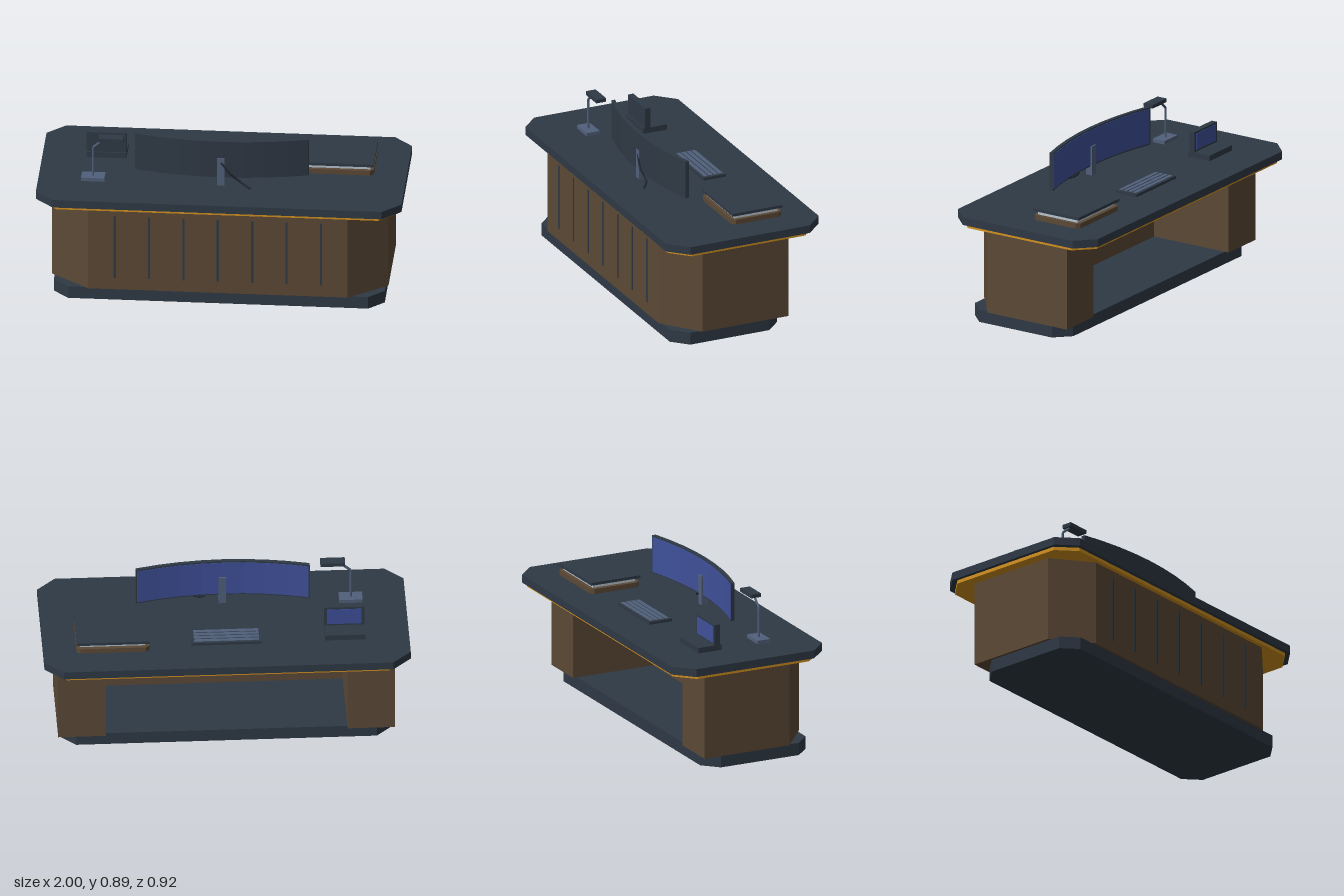
import * as THREE from 'three';

const mat = (name, color) => new THREE.MeshStandardMaterial({ name, color });

export function createModel() {
  const slate = mat('slate', 0x2f3945);
  const wood = mat('walnut', 0x5c4936);
  const amber = mat('amber trim', 0xd4911f);
  const metal = mat('blue grey metal', 0x50607a);
  const screenBlue = mat('screen blue', 0x3f509a);
  const paper = mat('paper', 0xb8c4ce);
  const charcoal = mat('charcoal', 0x222931);

  const desk = new THREE.Group();
  desk.name = 'desk';

  function add(name, geometry, material, parent = desk) {
    const mesh = new THREE.Mesh(geometry, material);
    mesh.name = name;
    parent.add(mesh);
    return mesh;
  }
  function group(name) {
    const g = new THREE.Group();
    g.name = name;
    desk.add(g);
    return g;
  }
  // Box given by its extents
  function box(name, x0, x1, y0, y1, z0, z1, material, parent) {
    const g = new THREE.BoxGeometry(x1 - x0, y1 - y0, z1 - z0);
    g.translate((x0 + x1) / 2, (y0 + y1) / 2, (z0 + z1) / 2);
    return add(name, g, material, parent);
  }
  // Upright prism over a floor plan of [x, z] points
  function prism(name, plan, y0, y1, material, parent) {
    const shape = new THREE.Shape(plan.map(([x, z]) => new THREE.Vector2(x, -z)));
    const g = new THREE.ExtrudeGeometry(shape, { depth: y1 - y0, bevelEnabled: false });
    g.rotateX(-Math.PI / 2).translate(0, y0, 0);
    return add(name, g, material, parent);
  }
  // Rectangle with cut corners
  const cutRect = (x0, x1, z0, z1, c) => [
    [x0 + c, z0], [x1 - c, z0], [x1, z0 + c], [x1, z1 - c],
    [x1 - c, z1], [x0 + c, z1], [x0, z1 - c], [x0, z0 + c],
  ];
  function tube(name, points, radius, material, parent, smooth = true) {
    const v = points.map((p) => new THREE.Vector3(...p));
    let path = new THREE.CatmullRomCurve3(v);
    if (!smooth) {
      path = new THREE.CurvePath();
      for (let i = 1; i < v.length; i++) path.add(new THREE.LineCurve3(v[i - 1], v[i]));
    }
    return add(name, new THREE.TubeGeometry(path, 16, radius, 6), material, parent);
  }

  // Plinth, cabinet with rear kneehole, trim and top
  prism('plinth', cutRect(-0.905, 0.905, -0.245, 0.4, 0.084), 0, 0.07, slate);
  const half = [[0.66, 0.22], [0.66, -0.27], [0.92, -0.27], [0.92, 0.25], [0.71, 0.415]];
  const mirrored = half.map(([x, z]) => [-x, z]).reverse();
  prism('cabinet', [...half, ...mirrored], 0.07, 0.556, wood);
  prism('trim', cutRect(-0.98, 0.98, -0.44, 0.44, 0.1), 0.556, 0.576, amber);
  prism('desktop', cutRect(-1, 1, -0.46, 0.46, 0.1), 0.576, 0.621, slate);

  // Grooves on the front panel
  for (let i = -3; i <= 3; i++) {
    const x = i * 0.188;
    box('frontGroove', x - 0.006, x + 0.006, 0.14, 0.515, 0.412, 0.418, slate);
  }

  // Curved monitor
  const monitor = group('monitor');
  const arc = (halfWidth, zMid) => Array.from({ length: 9 }, (_, i) => {
    const x = halfWidth * (i / 4 - 1);
    return [x, zMid - 0.064 * (x / 0.475) ** 2];
  });
  const band = (w, zBack, zFront) => [...arc(w, zBack), ...arc(w, zFront).reverse()];
  prism('monitorShell', band(0.475, 0.184, 0.206), 0.67, 0.886, slate, monitor);
  prism('monitorScreen', band(0.467, 0.181, 0.185), 0.678, 0.878, screenBlue, monitor);
  box('monitorStand', -0.02, 0.02, 0.62, 0.787, 0.171, 0.209, metal, monitor);
  tube('monitorCable', [[0, 0.76, 0.205], [0.05, 0.7, 0.216], [0.11, 0.645, 0.207], [0.168, 0.627, 0.253]],
    0.006, charcoal, monitor);

  // Desk lamp
  const lamp = group('lamp');
  box('lampBase', -0.765, -0.637, 0.62, 0.641, 0.135, 0.213, metal, lamp);
  tube('lampArm', [[-0.702, 0.64, 0.174], [-0.702, 0.81, 0.174], [-0.64, 0.862, 0.174]],
    0.007, metal, lamp, false);
  box('lampHead', -0.67, -0.535, 0.855, 0.876, 0.145, 0.204, slate, lamp);

  // Small terminal
  const terminal = group('terminal');
  box('terminalBase', -0.76, -0.54, 0.62, 0.652, -0.225, -0.083, slate, terminal);
  box('terminalPanel', -0.76, -0.54, 0.64, 0.768, -0.125, -0.092, slate, terminal);
  box('terminalScreen', -0.745, -0.555, 0.662, 0.756, -0.128, -0.124, screenBlue, terminal);

  // Keyboard
  const keyboard = group('keyboard');
  box('keyboardBody', -0.195, 0.19, 0.62, 0.637, -0.237, -0.1, slate, keyboard);
  for (let i = 0; i < 4; i++) {
    const z = -0.213 + i * 0.03;
    box('keyRow', -0.18, 0.175, 0.635, 0.64, z - 0.011, z + 0.011, metal, keyboard);
  }

  // Document stack
  const stack = group('documentStack');
  prism('documentTray', cutRect(0.42, 0.82, -0.28, 0.02, 0.02), 0.62, 0.649, wood, stack);
  box('paperSheets', 0.445, 0.8, 0.649, 0.671, -0.258, 0, paper, stack);
  box('folderCover', 0.42, 0.82, 0.671, 0.687, -0.28, 0.02, slate, stack);

  return desk;
}
